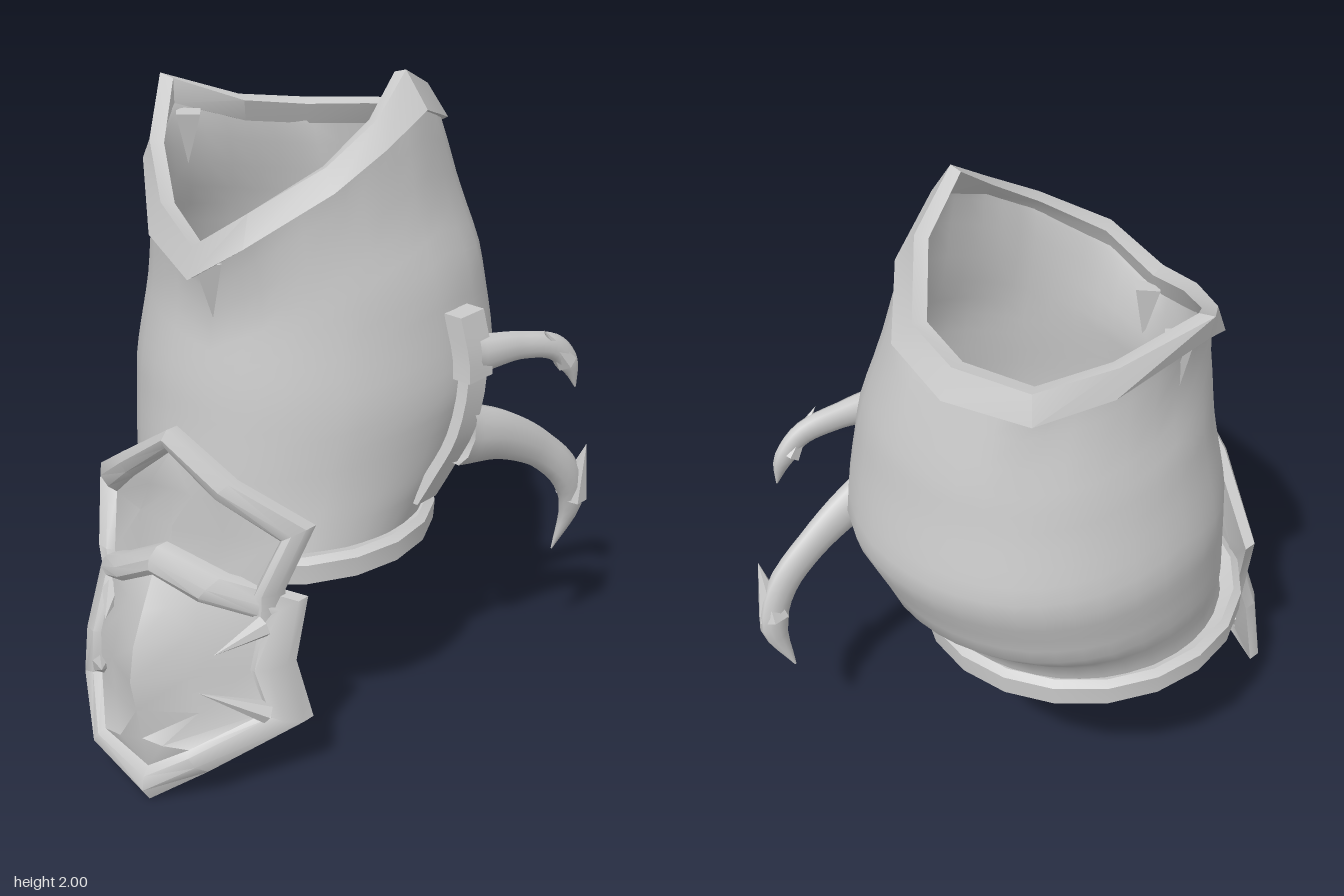
import * as THREE from 'three';
import { toCreasedNormals } from 'three/addons/utils/BufferGeometryUtils.js';

const V = (a) => new THREE.Vector3(...a);
const mix = (a, b, t) => a.map((v, i) => v + (b[i] - v) * t);
const material = new THREE.MeshStandardMaterial({ color: 0xcccccc, side: THREE.DoubleSide });

// Skin over rings of points; rings and the run of rings may each be closed
function loft(rings, closeRing = true, closeRun = false) {
  const n = rings[0].length, m = rings.length, index = [];
  for (let i = 0; i < (closeRun ? m : m - 1); i++) {
    for (let j = 0; j < (closeRing ? n : n - 1); j++) {
      const a = i * n + j, b = i * n + (j + 1) % n;
      const c = ((i + 1) % m) * n + j, d = ((i + 1) % m) * n + (j + 1) % n;
      index.push(a, b, d, a, d, c);
    }
  }
  const g = new THREE.BufferGeometry();
  g.setAttribute('position', new THREE.Float32BufferAttribute(rings.flat(2), 3));
  g.setIndex(index);
  g.computeVertexNormals();
  return g;
}

function add(group, name, geometry, crease = 0) {
  const mesh = new THREE.Mesh(crease ? toCreasedNormals(geometry, crease) : geometry, material);
  mesh.name = name;
  group.add(mesh);
  return mesh;
}

// Spike from a base point to a tip
function spike(group, name, base, tip, radius, sides = 6) {
  const a = V(base), d = V(tip).sub(a), len = d.length();
  const mesh = add(group, name, new THREE.ConeGeometry(radius, len, sides), 0.8);
  mesh.position.copy(a).addScaledVector(d, 0.5);
  mesh.quaternion.setFromUnitVectors(new THREE.Vector3(0, 1, 0), d.normalize());
}

// Tapering tube, flattened sideways; each point is x, y, z, radius
function horn(group, name, pts) {
  const curve = new THREE.CatmullRomCurve3(pts.map((p) => V(p.slice(0, 3))));
  const steps = 20, frames = curve.computeFrenetFrames(steps), rings = [];
  for (let i = 0; i <= steps; i++) {
    const u = i / steps, c = curve.getPointAt(u);
    const k = curve.getUtoTmapping(u) * (pts.length - 1), s = Math.min(Math.floor(k), pts.length - 2);
    const r = THREE.MathUtils.lerp(pts[s][3], pts[s + 1][3], k - s);
    rings.push(Array.from({ length: 10 }, (_, j) => {
      const a = j / 10 * Math.PI * 2;
      const off = new THREE.Vector3().addScaledVector(frames.normals[i], r * Math.cos(a))
        .addScaledVector(frames.binormals[i], r * Math.sin(a));
      off.x *= 0.65;
      return off.add(c).toArray();
    }));
  }
  add(group, name, loft(rings));
}

// Collar corners, counter-clockwise from the front: top edge, then lower edge
const COLLAR = [
  [[0, 1.58, 0.40], [0, 1.49, 0.42]],
  [[0.15, 1.69, 0.34], [0.16, 1.60, 0.37]],
  [[0.27, 1.80, 0.17], [0.31, 1.74, 0.18]],
  [[0.30, 1.90, 0], [0.35, 1.83, 0.02]],
  [[0.27, 2.0, -0.15], [0.34, 1.9, -0.16]],
  [[0.18, 1.91, -0.36], [0.24, 1.82, -0.38]],
  [[0, 1.80, -0.53], [0.05, 1.73, -0.56]],
  [[-0.18, 1.77, -0.56], [-0.18, 1.69, -0.6]],
  [[-0.38, 1.75, -0.48], [-0.4, 1.67, -0.5]],
  [[-0.48, 1.78, -0.28], [-0.49, 1.70, -0.3]],
  [[-0.58, 1.87, -0.05], [-0.555, 1.79, -0.04]],
  [[-0.42, 1.74, 0.15], [-0.45, 1.68, 0.15]],
  [[-0.2, 1.64, 0.32], [-0.22, 1.55, 0.35]],
];
const inset = (p, k, dy) => [-0.08 + (p[0] + 0.08) * k, p[1] + dy, -0.1 + (p[2] + 0.1) * k];

// Sleeve sections: height, centre x, centre z, half width, half depth
const SECTIONS = [
  [0.64, -0.07, 0, 0.43, 0.43], [0.74, -0.07, -0.03, 0.44, 0.43], [0.86, -0.08, -0.10, 0.47, 0.49],
  [1.1, -0.08, -0.155, 0.50, 0.525], [1.4, -0.07, -0.155, 0.46, 0.485],
  [1.65, -0.07, -0.13, 0.40, 0.47], [2.0, -0.07, -0.11, 0.39, 0.44],
];
function section(y) {
  let i = 0;
  while (i < SECTIONS.length - 2 && y > SECTIONS[i + 1][0]) i++;
  const t = (y - SECTIONS[i][0]) / (SECTIONS[i + 1][0] - SECTIONS[i][0]);
  return mix(SECTIONS[i], SECTIONS[i + 1], THREE.MathUtils.lerp(t, t * t * (3 - 2 * t), 0.4));
}

function buildSleeve(group) {
  const cols = [];
  COLLAR.forEach((c, i) => {
    const n = COLLAR[(i + 1) % COLLAR.length];
    for (let k = 0; k < 3; k++) cols.push(inset(mix(mix(c[0], n[0], k / 3), mix(c[1], n[1], k / 3), 0.6), 0.95, 0));
  });
  const rings = [];
  for (let i = 0; i <= 20; i++) {
    const t = i / 20, blend = THREE.MathUtils.smoothstep(t, 0.75, 1);
    rings.push(cols.map((p) => {
      const a = Math.atan2(p[0] + 0.08, p[2] + 0.1), y = 0.65 + (p[1] - 0.65) * t;
      const [, cx, cz, rx, rz] = section(y);
      // The back left of the sleeve swells at mid height
      const swell = 1 + 0.08 * Math.max(0, Math.cos(a - 2.3)) ** 4 * Math.sin(Math.PI * Math.min(1, t * 1.2));
      return mix([cx + rx * swell * Math.sin(a), y, cz + rz * swell * Math.cos(a)], p, blend);
    }));
  }
  add(group, 'sleeve', loft(rings));

  // Folded collar band
  add(group, 'collar', loft(COLLAR.map(([t, l]) => [l, t, inset(t, 0.9, -0.01), inset(l, 0.92, 0)]), true, true), 0.6);
  spike(group, 'frontCollarSpike', [0.01, 1.53, 0.35], [0.01, 1.36, 0.335], 0.05, 4);
  spike(group, 'sideCollarSpike', [-0.475, 1.77, -0.06], [-0.48, 1.61, -0.06], 0.05, 4);

  // Bottom cuff with a lip turned inwards, bowl-shaped inside: radius, height
  const cuff = [[0.38, 0.73], [0.34, 0.675], [0.285, 0.65], [0.315, 0.625], [0.38, 0.645],
    [0.45, 0.615], [0.48, 0.625], [0.483, 0.685], [0.46, 0.7], [0.42, 0.69]];
  const lip = new THREE.LatheGeometry(cuff.map((p) => new THREE.Vector2(...p)), 20);
  add(group, 'cuff', lip.translate(-0.07, 0, 0.018), 0.7).rotation.x = -0.015;
}

// Adds a middle point to every edge of a plate outline, wrapping it round the limb
const EDGE_BOW = [0.035, 0.04, 0.075, 0.075, 0.04, 0.035];
const wrap = (line) => line.flatMap((p, i) => {
  const m = mix(p, line[(i + 1) % 6], 0.5);
  const pull = i % 3 === 1 ? 0.94 : 1;
  return [p, [0.04 + (m[0] - 0.04) * pull, m[1], m[2] + EDGE_BOW[i]]];
});

// Plate with a raised frame and a ridged panel. Outline and inner line run
// top, right, lower right, bottom, lower left, left
function buildPlate(group, name, outline, inner, ridge) {
  const plate = new THREE.Group();
  plate.name = name;
  const shift = (p, dz) => [p[0], p[1], p[2] + dz];
  const outer = wrap(outline), inside = wrap(inner);
  add(plate, 'frame', loft(outer.map((o, i) => [
    shift(o, -0.04), o, shift(mix(o, inside[i], 0.35), 0.025),
    shift(mix(o, inside[i], 0.75), 0.02), inside[i], shift(inside[i], -0.025),
  ]), true, true), 0.7);
  const spine = new THREE.CatmullRomCurve3([inner[0], ...ridge, inner[3]].map(V));
  const rows = spine.getSpacedPoints(6).map((p, i) => {
    const mid = p.toArray(), left = inside[(12 - i) % 12], right = inside[i];
    const bow = (a) => shift(mix(a, mid, 0.5), i % 6 ? 0.012 : 0);
    return [left, bow(left), mid, bow(right), right];
  });
  add(plate, 'panel', loft(rows.reverse(), false), 0.7);
  group.add(plate);
  return plate;
}

function buildPlates(group) {
  buildPlate(group, 'upperPlate',
    [[0.06, 1.12, 0.57], [0.34, 0.82, 0.32], [0.29, 0.45, 0.40], [0.03, 0.30, 0.58], [-0.31, 0.43, 0.48], [-0.42, 0.80, 0.39]],
    [[0.055, 1.05, 0.55], [0.28, 0.78, 0.36], [0.23, 0.48, 0.42], [0.03, 0.36, 0.57], [-0.24, 0.46, 0.48], [-0.32, 0.75, 0.42]],
    [[0.05, 0.82, 0.55], [0.04, 0.58, 0.56]]);
  const lower = buildPlate(group, 'lowerPlate',
    [[0.05, 0.78, 0.61], [0.33, 0.60, 0.34], [0.37, 0.23, 0.36], [0.08, 0.005, 0.70], [-0.35, 0.20, 0.55], [-0.31, 0.57, 0.49]],
    [[0.05, 0.70, 0.63], [0.26, 0.55, 0.42], [0.30, 0.27, 0.44], [0.08, 0.12, 0.70], [-0.24, 0.24, 0.58], [-0.23, 0.54, 0.53]],
    [[0.065, 0.59, 0.695], [0.08, 0.46, 0.755], [0.08, 0.29, 0.73]]);
  const barbs = [
    [[-0.22, 0.51, 0.54], [-0.11, 0.51, 0.67]], [[-0.25, 0.26, 0.57], [-0.10, 0.36, 0.70]],
    [[0.28, 0.54, 0.43], [0.24, 0.50, 0.59]], [[0.31, 0.28, 0.45], [0.21, 0.38, 0.62]],
  ];
  barbs.forEach(([a, b]) => spike(lower, 'barb', a, b, 0.032));
}

function buildHooks(group) {
  // Curved strap on the left side, carrying two barbed hooks
  const strap = new THREE.CatmullRomCurve3([
    [0.435, 1.33, -0.23], [0.475, 1.17, -0.23], [0.465, 0.98, -0.20], [0.41, 0.84, -0.17], [0.37, 0.75, -0.15],
  ].map(V));
  const bar = (pts, w, d) => {
    const rings = pts.map(({ x, y, z }) => [
      [x - w, y, z - d], [x - w, y, z + d], [x + w, y, z + d], [x + w, y, z - d],
    ]);
    // Close both ends with rings shrunk to a point
    const cap = ({ x, y, z }) => Array(4).fill([x, y, z]);
    return loft([cap(pts[0]), ...rings, cap(pts[pts.length - 1])]);
  };
  const pts = strap.getPoints(14);
  add(group, 'strap', bar(pts, 0.018, 0.043), 0.6);
  add(group, 'clip', bar(pts.slice(0, 5), 0.03, 0.052), 0.6);
  horn(group, 'lowerHook', [
    [0.45, 0.96, -0.22, 0.095], [0.475, 0.91, -0.38, 0.075], [0.5, 0.81, -0.55, 0.058],
    [0.52, 0.69, -0.67, 0.055], [0.515, 0.57, -0.715, 0.048], [0.48, 0.41, -0.68, 0.003],
  ]);
  spike(group, 'lowerHookBarb', [0.52, 0.60, -0.71], [0.56, 0.79, -0.715], 0.05);
  horn(group, 'upperHook', [
    [0.465, 1.20, -0.25, 0.062], [0.51, 1.195, -0.4, 0.043], [0.55, 1.165, -0.52, 0.038],
    [0.565, 1.10, -0.58, 0.035], [0.575, 1.02, -0.605, 0.003],
  ]);
  spike(group, 'upperHookBarb', [0.56, 1.11, -0.565], [0.55, 1.235, -0.46], 0.035);
}

export function createModel() {
  const group = new THREE.Group();
  group.name = 'armourPiece';
  buildSleeve(group);
  buildPlates(group);
  buildHooks(group);
  return group;
}
